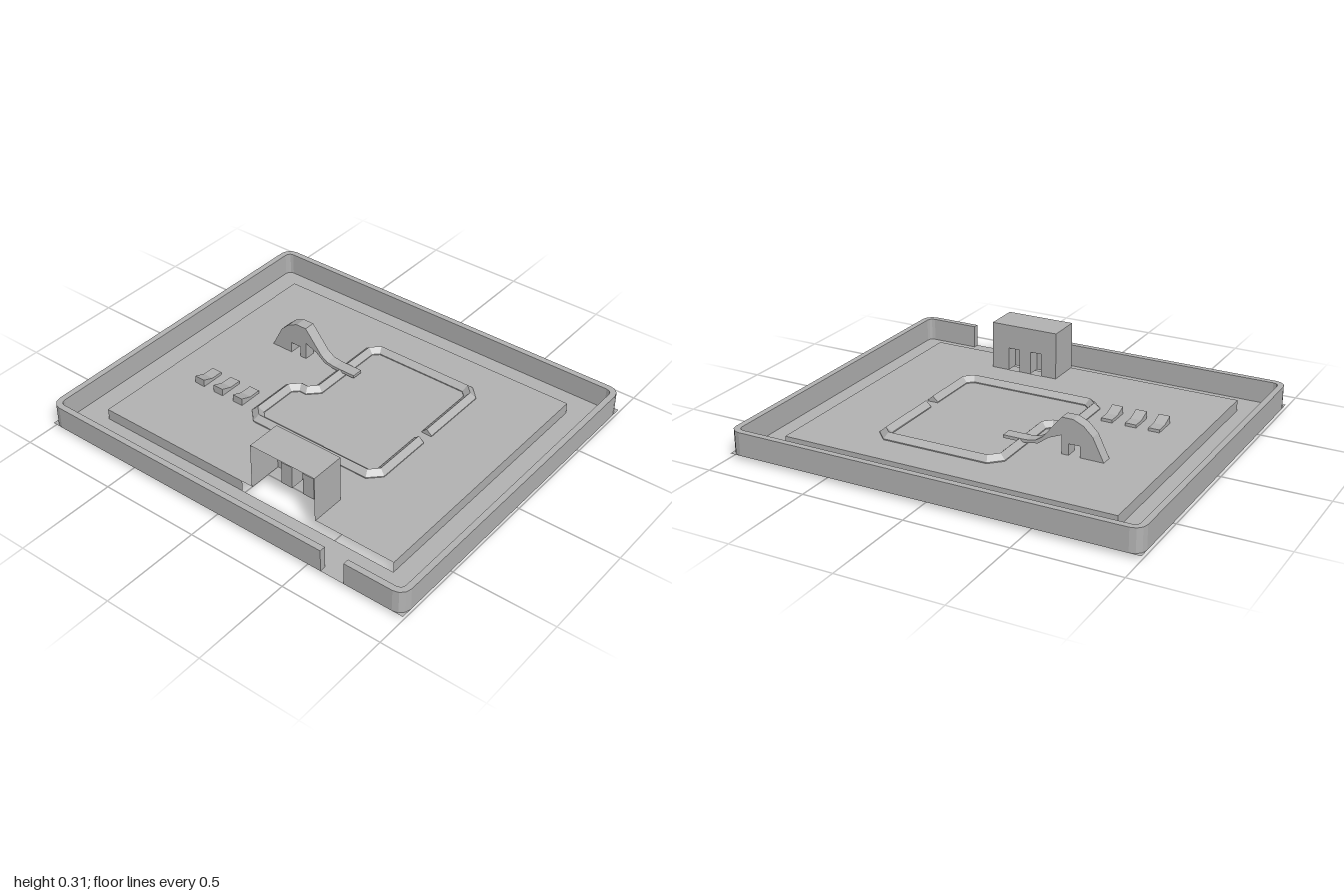
import * as THREE from 'three';

const BASE = 0.02, DECK = 0.075, WALL_TOP = 0.133;

export function createModel() {
  const model = new THREE.Group();
  model.name = 'poolCourtyard';
  const concrete = new THREE.MeshStandardMaterial({ color: 0xb4b4b4, side: THREE.DoubleSide });
  concrete.name = 'concrete grey';

  const add = (name, geometry, parent = model) => {
    const mesh = new THREE.Mesh(geometry, concrete);
    mesh.name = name;
    parent.add(mesh);
    return mesh;
  };

  // Flat-shaded surface from a list of convex polygons
  const faces = (polygons) => {
    const pos = [];
    for (const p of polygons)
      for (let i = 1; i < p.length - 1; i++) pos.push(...p[0], ...p[i], ...p[i + 1]);
    const g = new THREE.BufferGeometry();
    g.setAttribute('position', new THREE.Float32BufferAttribute(pos, 3));
    g.computeVertexNormals();
    return g;
  };

  // Horizontal sheet from x,z outlines
  const sheet = (outline, y, holes = []) => {
    const pts = (list) => list.map(([x, z]) => new THREE.Vector2(x, -z));
    const shape = new THREE.Shape(pts(outline));
    holes.forEach((h) => shape.holes.push(new THREE.Path(pts(h))));
    return new THREE.ShapeGeometry(shape).rotateX(-Math.PI / 2).translate(0, y, 0);
  };
  const rect = (x0, x1, z0, z1) => [[x0, z0], [x1, z0], [x1, z1], [x0, z1]];

  // Sweep a closed [inset, y] profile along an open x,z path with mitred corners
  const sweep = (path, profile) => {
    const normal = (a, b) => {
      const dx = b[0] - a[0], dz = b[1] - a[1], l = Math.hypot(dx, dz);
      return [-dz / l, dx / l];
    };
    const last = path.length - 1;
    const sections = path.map((p, i) => {
      const n0 = normal(path[Math.max(i - 1, 0)], path[Math.max(i, 1)]);
      const n1 = normal(path[Math.min(i, last - 1)], path[Math.min(i + 1, last)]);
      const k = 1 / (1 + n0[0] * n1[0] + n0[1] * n1[1]);
      const mx = (n0[0] + n1[0]) * k, mz = (n0[1] + n1[1]) * k;
      return profile.map(([d, y]) => [p[0] + mx * d, y, p[1] + mz * d]);
    });
    const polys = [sections[0], [...sections[last]].reverse()];
    for (let i = 0; i < last; i++)
      profile.forEach((_, j) => {
        const k = (j + 1) % profile.length;
        polys.push([sections[i][j], sections[i][k], sections[i + 1][k], sections[i + 1][j]]);
      });
    return faces(polys);
  };

  // Lower floor around the raised deck
  const deckRect = rect(-0.82, 0.82, -0.68, 0.67);
  add('lowerFloor', sheet(rect(-1, 1, -0.85, 0.85), BASE, [deckRect]));

  // Boundary wall with rounded corners and a front gateway
  const wallPath = [[0.58, 0.85]];
  const r = 0.055;
  for (const [cx, cz, start] of [[-1, 1, 90], [-1, -1, 180], [1, -1, 270], [1, 1, 0]])
    for (let i = 0; i <= 3; i++) {
      const a = THREE.MathUtils.degToRad(start + i * 30);
      wallPath.push([cx * (1 - r) + r * Math.cos(a), cz * (0.85 - r) + r * Math.sin(a)]);
    }
  wallPath.push([0.7, 0.85]);
  add('boundaryWall', sweep(wallPath, [[0, BASE], [0, WALL_TOP], [0.03, WALL_TOP], [0.03, BASE]]));

  // Raised deck, open beneath the pavilion
  add('deck', sheet([[-0.82, -0.68], [0.82, -0.68], [0.82, 0.67], [0.41, 0.67], [0.41, 0.5],
    [0.06, 0.5], [0.06, 0.67], [-0.82, 0.67]], DECK));
  const riser = (x0, z0, x1, z1) =>
    [[x0, BASE, z0], [x1, BASE, z1], [x1, DECK, z1], [x0, DECK, z0]];
  // The front riser stops part way along
  add('deckRisers', faces([
    riser(-0.82, 0.67, 0, 0.67), riser(0.82, 0.67, 0.82, -0.68),
    riser(0.82, -0.68, -0.82, -0.68), riser(-0.82, -0.68, -0.82, 0.67),
  ]));

  // Ridged pool kerb with a gap on one side
  add('poolKerb', sweep([
    [0.468, -0.03], [0.468, 0.265], [0.41, 0.323], [-0.235, 0.323], [-0.293, 0.265], [-0.293, 0.022],
    [-0.235, -0.036], [-0.197, -0.036], [-0.175, -0.058], [-0.175, -0.447], [-0.117, -0.505],
    [0.41, -0.505], [0.468, -0.447], [0.468, -0.09],
  ], [[0, 0], [0, 0.08], [0.027, 0.105], [0.054, 0.08], [0.054, 0]]));

  // Pavilion: open-fronted shell with two recessed doorways at the back
  const pavilion = new THREE.Group();
  pavilion.name = 'pavilion';
  model.add(pavilion);
  const x0 = 0.06, x1 = 0.41, zb = 0.5, zf = 0.675, top = 0.31, doorTop = 0.19, zr = 0.57;
  const back = (a, b, y0, y1, z = zb) => [[b, y0, z], [a, y0, z], [a, y1, z], [b, y1, z]];
  add('pavilionShell', faces([
    [[x0, top, zf], [x1, top, zf], [x1, top, zb], [x0, top, zb]],
    [[x1, DECK, zf], [x1, DECK, zb], [x1, top, zb], [x1, top, zf]],
    [[x0, DECK, zb], [x0, DECK, zf], [x0, top, zf], [x0, top, zb]],
    back(x0, x1, doorTop, top), back(x0, 0.14, DECK, doorTop),
    back(0.2, 0.26, DECK, doorTop), back(0.32, x1, DECK, doorTop),
  ]), pavilion);
  for (const a of [0.14, 0.26]) {
    const b = a + 0.06;
    add('doorRecess', faces([
      back(a, b, DECK, doorTop, zr),
      [[a, DECK, zr], [a, DECK, zb], [a, doorTop, zb], [a, doorTop, zr]],
      [[b, DECK, zb], [b, DECK, zr], [b, doorTop, zr], [b, doorTop, zb]],
      [[a, doorTop, zb], [b, doorTop, zb], [b, doorTop, zr], [a, doorTop, zr]],
    ]), pavilion);
  }

  // Extrude an outline along its own depth
  const slab = (points, depth) => new THREE.ExtrudeGeometry(
    new THREE.Shape(points.map(([x, y]) => new THREE.Vector2(x, y))), { depth, bevelEnabled: false });

  // Slide: arched tower with a chute running over the kerb
  add('waterSlide', slab([
    [-0.56, DECK], [-0.53, 0.135], [-0.505, 0.185], [-0.46, 0.228], [-0.41, 0.25], [-0.355, 0.25],
    [-0.26, 0.135], [-0.225, 0.112], [-0.18, 0.105], [-0.065, 0.105], [-0.065, 0.09], [-0.18, 0.09],
    [-0.24, 0.1], [-0.29, 0.138], [-0.355, 0.165], [-0.355, DECK],
    [-0.39, DECK], [-0.39, 0.13], [-0.445, 0.13], [-0.445, DECK],
  ], 0.057).translate(0, 0, -0.262));

  // Row of sun loungers with raised backs
  for (const x of [-0.617, -0.502, -0.382])
    add('lounger', slab([
      [-0.265, DECK], [-0.145, DECK], [-0.145, 0.09], [-0.205, 0.09], [-0.265, 0.112],
    ], 0.055).rotateY(Math.PI / 2).translate(x - 0.0275, 0, 0));

  return model;
}
